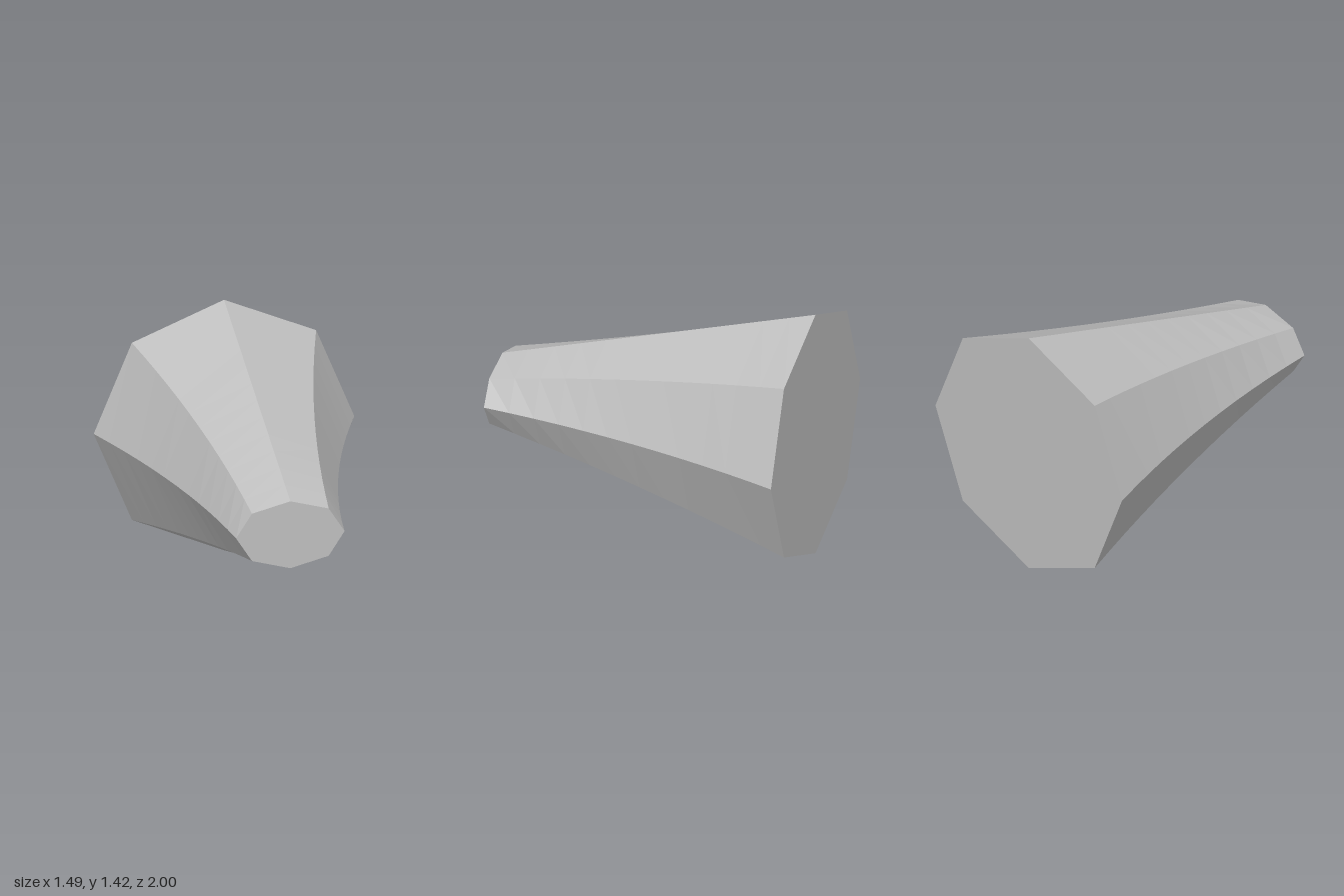
import * as THREE from 'three';

const LENGTH = 1.777;

export function createModel() {
  const grey = new THREE.MeshStandardMaterial({ color: 0xbfbfbf, flatShading: true });
  grey.name = 'plain grey';

  // Closed eight-sided unit prism lying along z
  const geometry = new THREE.CylinderGeometry(1, 1, LENGTH, 8, 12);
  geometry.rotateX(Math.PI / 2);

  // Taper: round wide back to flattened front; height shrinks evenly, width with a slight waist
  const p = geometry.attributes.position;
  for (let i = 0; i < p.count; i++) {
    const t = p.getZ(i) / LENGTH + 0.5;
    const halfWidth = THREE.MathUtils.lerp(0.711, 0.296, t) - 0.24 * t * (1 - t);
    const halfHeight = THREE.MathUtils.lerp(0.711, 0.19, t);
    p.setX(i, p.getX(i) * halfWidth);
    p.setY(i, p.getY(i) * halfHeight);
  }
  geometry.computeVertexNormals();

  const body = new THREE.Mesh(geometry, grey);
  body.name = 'taperedBody';
  body.rotation.y = -0.301;
  body.position.set(-0.2, 0.711, 0.0575);

  const model = new THREE.Group();
  model.name = 'taperedOctagonalHorn';
  model.add(body);
  return model;
}
